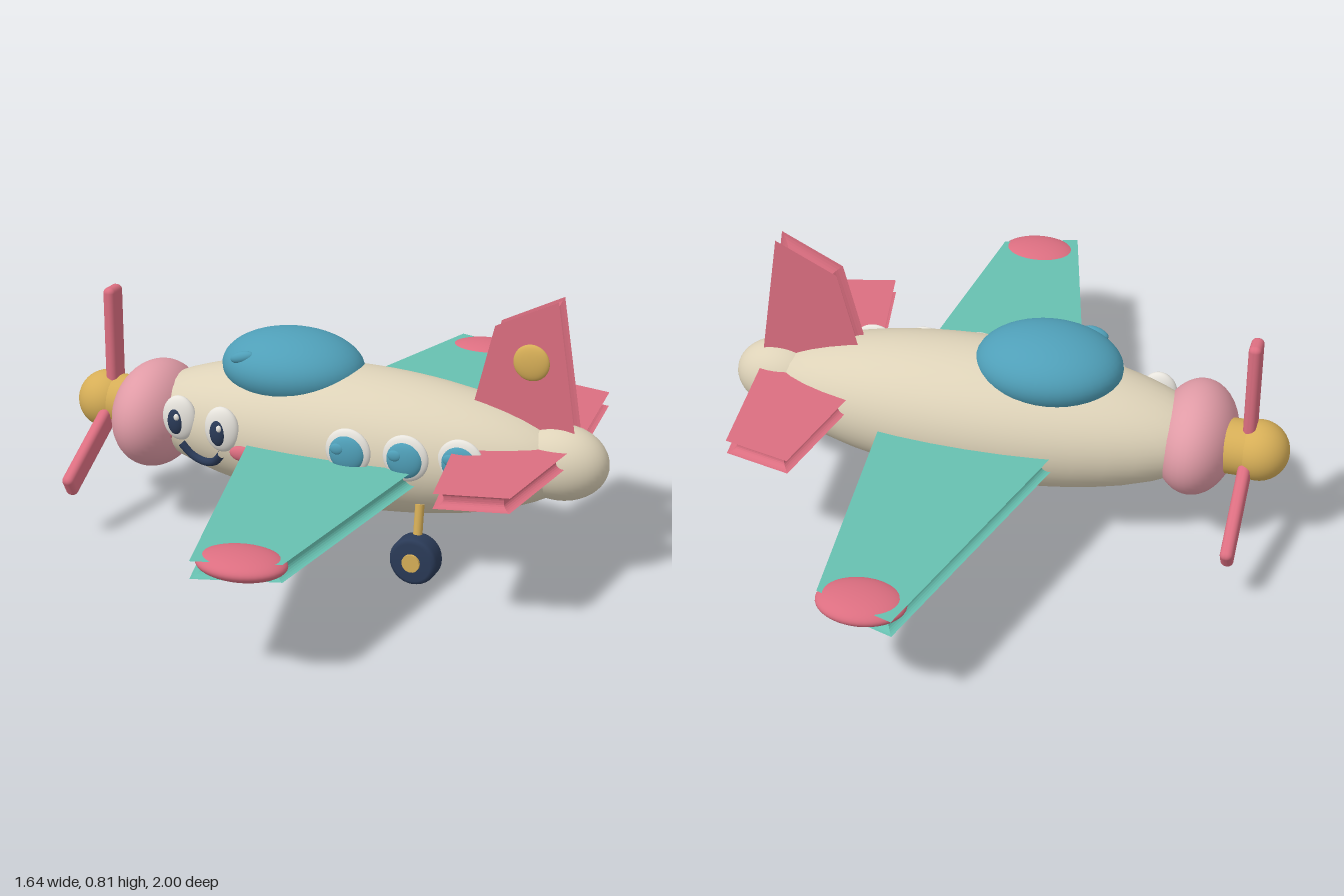
import * as THREE from 'three';
import { RoundedBoxGeometry } from 'three/addons/geometries/RoundedBoxGeometry.js';

const paint = (name, color) => {
  const m = new THREE.MeshStandardMaterial({ color });
  m.name = name;
  return m;
};

export function createModel() {
  const cream = paint('cream', 0xddd2b8);
  const teal = paint('teal', 0x67c0b0);
  const coral = paint('coral', 0xdb6e80);
  const pink = paint('pink', 0xe09ba6);
  const gold = paint('gold', 0xd6ae57);
  const blue = paint('blue', 0x4f9fb8);
  const navy = paint('navy', 0x2a3a57);
  const white = paint('white', 0xe9e6df);

  const plane = new THREE.Group();
  plane.name = 'airplane';

  const add = (name, geometry, material, x = 0, y = 0, z = 0, parent = plane) => {
    const mesh = new THREE.Mesh(geometry, material);
    mesh.name = name;
    mesh.position.set(x, y, z);
    parent.add(mesh);
    return mesh;
  };
  const ball = (name, material, [x, y, z], [rx, ry, rz], parent = plane) =>
    add(name, new THREE.SphereGeometry(1, 40, 28).scale(rx, ry, rz), material, x, y, z, parent);

  // Fuselage, and the depth of its left side at a given spot
  const body = { x: 0.06, y: 0.338, rx: 0.67, ry: 0.203, rz: 0.221 };
  const skinZ = (x, y) => body.rz * Math.sqrt(Math.max(0,
    1 - ((x - body.x) / body.rx) ** 2 - ((y - body.y) / body.ry) ** 2));
  ball('fuselage', cream, [body.x, body.y, 0], [body.rx, body.ry, body.rz]);
  ball('tailCone', cream, [0.68, 0.348, 0], [0.138, 0.108, 0.1]);
  ball('noseCowl', pink, [-0.55, 0.328, 0.03], [0.118, 0.157, 0.187]);

  // Canopy with its raised glint
  ball('canopy', blue, [-0.124, 0.52, 0], [0.212, 0.108, 0.165]);
  ball('canopyGlint', blue, [-0.23, 0.567, 0.118], [0.038, 0.017, 0.016]).rotation.z = 0.3;

  // Spinner and three propeller blades
  ball('spinner', gold, [-0.733, 0.335, 0], [0.087, 0.087, 0.087]);
  add('propellerShaft', new THREE.CylinderGeometry(0.08, 0.08, 0.1, 32).rotateZ(Math.PI / 2),
    gold, -0.67, 0.335, 0);
  for (let i = 0; i < 3; i++) {
    const arm = new THREE.Group();
    arm.name = 'propellerBlade';
    arm.position.set(-0.705, 0.335, 0);
    arm.rotation.x = i * Math.PI * 2 / 3;
    add('blade', new RoundedBoxGeometry(0.036, 0.35, 0.072, 4, 0.016), coral, 0, 0.178, 0, arm);
    plane.add(arm);
  }

  // Flat surfaces with a hollow groove along their edges
  const panel = (points, thickness, groove) => {
    const shape = new THREE.Shape(points.map(([u, v]) => new THREE.Vector2(u, v)));
    const bevel = thickness * 0.42;
    const depth = thickness - 2 * bevel;
    return new THREE.ExtrudeGeometry(shape, {
      depth, bevelEnabled: true, bevelThickness: bevel, bevelSize: -groove, bevelSegments: 6,
    }).translate(0, 0, -depth / 2);
  };
  const wingPlan = [[-0.207, 0.1], [0.335, 0.1], [0.257, 0.92], [0.034, 0.99]];
  const stabilizerPlan = [[0.405, 0.05], [0.725, 0.05], [0.685, 0.445], [0.49, 0.492]];
  for (const [side, s] of [['left', 1], ['right', -1]]) {
    const mirror = (plan) => plan.map(([x, z]) => [x, z * s]);
    add(side + 'Wing', panel(mirror(wingPlan), 0.048, 0.025).rotateX(Math.PI / 2),
      teal, 0, 0.315, 0);
    ball(side + 'WingTip', coral, [0.14, 0.32, 0.91 * s], [0.122, 0.035, 0.09]);
    add(side + 'Stabilizer', panel(mirror(stabilizerPlan), 0.042, 0.025).rotateX(Math.PI / 2),
      coral, 0, 0.385, 0);
  }
  add('fin', panel([[0.41, 0.4], [0.733, 0.4], [0.668, 0.813], [0.49, 0.725]], 0.056, 0.035), coral);
  ball('finDot', gold, [0.597, 0.633, 0.028], [0.052, 0.052, 0.016]);

  // Three round windows on the left side
  for (const x of [0.138, 0.303, 0.453]) {
    const z = skinZ(x, 0.374) + 0.005;
    ball('windowRim', white, [x, 0.374, z], [0.067, 0.067, 0.02]);
    ball('windowGlass', blue, [x, 0.372, z + 0.008], [0.053, 0.053, 0.02]);
    ball('windowGlint', blue, [x - 0.024, 0.386, z + 0.024], [0.02, 0.016, 0.008]);
  }

  // Face: eyes, smile and cheeks
  for (const x of [-0.413, -0.26]) {
    const z = skinZ(x, 0.374) + 0.005;
    ball('eye', white, [x, 0.372, z], [0.053, 0.067, 0.025]);
    ball('pupil', navy, [x - 0.005, 0.366, z + 0.016], [0.025, 0.04, 0.016]);
    ball('eyeSparkle', white, [x + 0.004, 0.383, z + 0.03], [0.008, 0.01, 0.006]);
  }
  const smile = new THREE.CatmullRomCurve3([
    [-0.408, 0.296], [-0.375, 0.262], [-0.335, 0.25], [-0.295, 0.262], [-0.262, 0.296],
  ].map(([x, y]) => new THREE.Vector3(x, y, skinZ(x, y) + 0.008)));
  add('smile', new THREE.TubeGeometry(smile, 32, 0.012, 10), navy);
  for (const x of [-0.48, -0.193])
    ball('cheek', coral, [x, 0.31, skinZ(x, 0.31)], [0.04, 0.023, 0.015]);

  // Wheels on struts beneath the left side
  const tyre = [[0, -0.036], [0.056, -0.036], [0.066, -0.03], [0.07, -0.02],
    [0.07, 0.02], [0.066, 0.03], [0.056, 0.036], [0, 0.036]].map(([r, h]) => new THREE.Vector2(r, h));
  for (const x of [-0.16, 0.328]) {
    add('wheel', new THREE.LatheGeometry(tyre, 32).rotateX(Math.PI / 2), navy, x, 0.071, 0.183);
    add('wheelHub', new THREE.CylinderGeometry(0.026, 0.026, 0.012, 24).rotateX(Math.PI / 2),
      gold, x, 0.071, 0.221);
    const strut = add('strut', new THREE.CylinderGeometry(0.013, 0.013, 0.14, 16),
      gold, x, 0.155, 0.168);
    strut.rotation.x = -0.15;
  }

  return plane;
}
